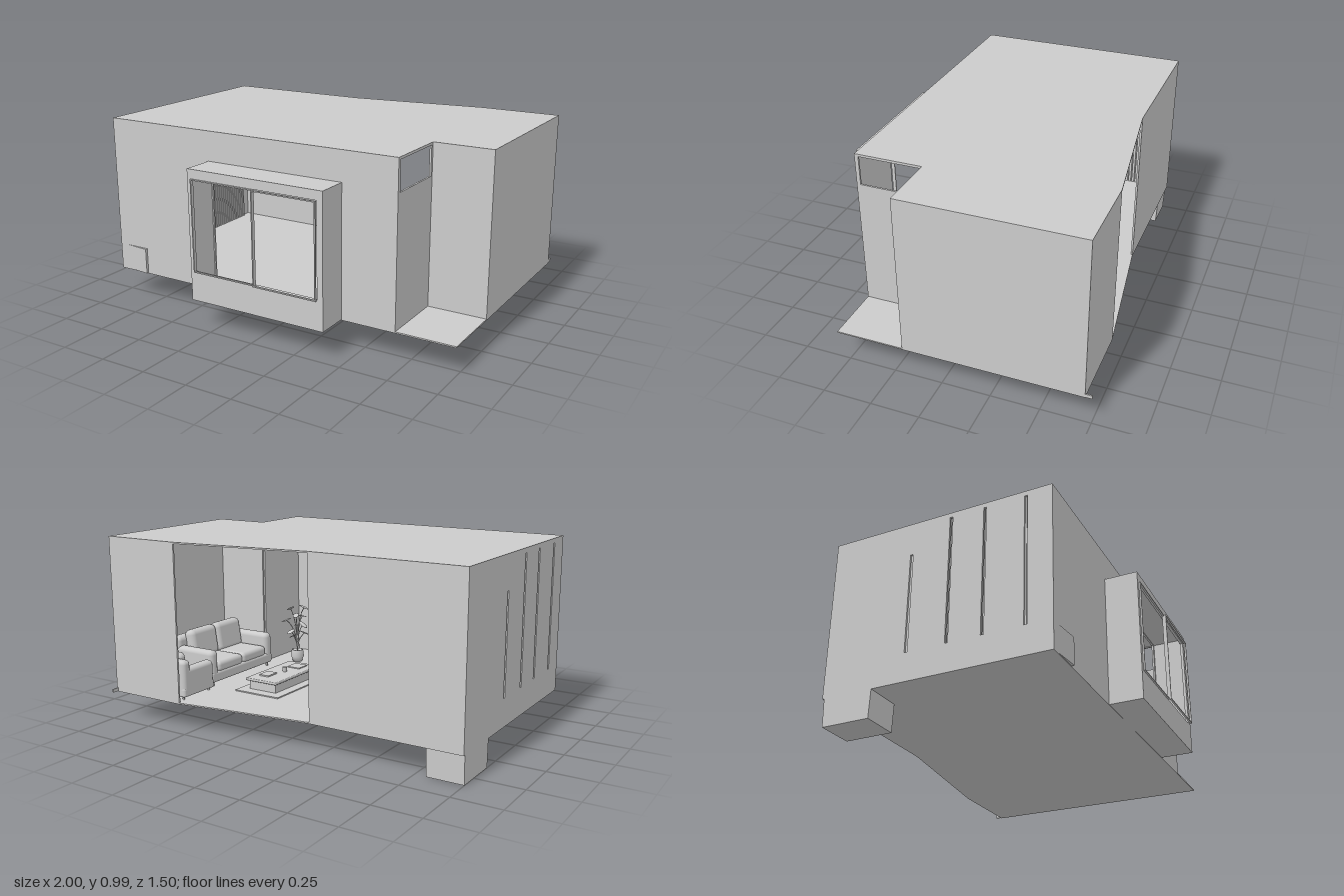
import * as THREE from 'three';
import { RoundedBoxGeometry } from 'three/addons/geometries/RoundedBoxGeometry.js';

const mat = new THREE.MeshStandardMaterial({ color: 0xcccccc, side: THREE.DoubleSide });
const FLOOR = 0.15, TOP = 0.985, THICK = 0.01;

// Plan of the room, running clockwise seen from above: [x, z]
const plan = [
  [-1, -0.615], [-0.18, -0.615], [0.56, -0.715], [1, -0.715],
  [1, 0.205], [0.69, 0.205], [0.69, 0.56], [-1, 0.56],
];

function add(parent, name, geometry, x = 0, y = 0, z = 0) {
  const mesh = new THREE.Mesh(geometry, mat);
  mesh.name = name;
  mesh.position.set(x, y, z);
  parent.add(mesh);
  return mesh;
}

// Box or rounded box given by its lower and upper limits
function block(parent, name, [x0, x1], [y0, y1], [z0, z1], radius = 0) {
  const s = [x1 - x0, y1 - y0, z1 - z0];
  const g = radius ? new RoundedBoxGeometry(...s, 3, radius) : new THREE.BoxGeometry(...s);
  return add(parent, name, g, (x0 + x1) / 2, (y0 + y1) / 2, (z0 + z1) / 2);
}

function rectPoints(x0, x1, y0, y1) {
  return [[x0, y0], [x1, y0], [x1, y1], [x0, y1]].map(p => new THREE.Vector2(...p));
}

// Flat panel with rectangular holes
function panel(x0, x1, y0, y1, holes, depth) {
  const shape = new THREE.Shape(rectPoints(x0, x1, y0, y1));
  for (const h of holes) shape.holes.push(new THREE.Path(rectPoints(...h).reverse()));
  return new THREE.ExtrudeGeometry(shape, { depth, bevelEnabled: false });
}

// Horizontal slab between two heights
function slab(points, y0, y1) {
  const shape = new THREE.Shape(points.map(([x, z]) => new THREE.Vector2(x, -z)));
  const g = new THREE.ExtrudeGeometry(shape, { depth: y1 - y0, bevelEnabled: false });
  return g.rotateX(-Math.PI / 2).translate(0, y0, 0);
}

function makeShell() {
  const shell = new THREE.Group();
  shell.name = 'shell';
  add(shell, 'roof', slab(plan, TOP - 0.008, TOP));
  const floorPlan = [...plan.slice(0, 4), [1, 0.56], [-1, 0.56]];
  add(shell, 'floor', slab(floorPlan, 0.143, FLOOR));

  // Walls follow the plan; the slanted rear side stays open
  const holes = {
    5: [[0.015, 0.335, 0.82, 0.972]],
    6: [[0.32, 1.04, 0.17, 0.81]],
    7: [-0.17, 0.04, 0.22, 0.43].map((z, i) =>
      [0.555 - z, 0.57 - z, 0.29, i ? 0.96 : 0.81]),
  };
  plan.forEach(([x, z], i) => {
    if (i === 1) return;
    const [x2, z2] = plan[(i + 1) % plan.length];
    const length = Math.hypot(x2 - x, z2 - z);
    const wall = add(shell, 'wall' + i, panel(0, length, 0.145, TOP - 0.002, holes[i] || [], THICK), x, 0, z);
    wall.rotation.y = Math.atan2(z - z2, x2 - x);
  });

  // Slatted cladding inside the side wall
  for (let z = -0.54; z < 0.55; z += 0.02) {
    block(shell, 'wallSlat', [-0.988, -0.976], [FLOOR, TOP - 0.01], [z - 0.007, z + 0.007]);
  }

  // Base ledge, corner support and small corner plate
  block(shell, 'baseLedge', [0.993, 1.0], [0.145, 0.163], [-0.75, 0.205]);
  const support = new THREE.BoxGeometry(0.19, 0.145, 0.26);
  const p = support.attributes.position;
  for (let i = 0; i < p.count; i++) if (p.getY(i) < 0) p.setZ(i, p.getZ(i) * 0.96);
  support.computeVertexNormals();
  add(shell, 'cornerSupport', support, -0.905, 0.0725, -0.475);
  add(shell, 'cornerPlate', slab([[-1, 0.556], [-0.815, 0.556], [-0.815, 0.574]], 0.147, 0.285));
  return shell;
}

function makeBay() {
  const bay = new THREE.Group();
  bay.name = 'bayWindow';
  const xs = [-0.372, 0.4], ys = [0.145, 0.83], zs = [0.56, 0.73];
  add(bay, 'bayFront', panel(...xs, ...ys, [[-0.348, 0.368, 0.3, 0.782]], 0.015), 0, 0, 0.715);
  block(bay, 'bayRoof', xs, [0.815, 0.83], zs);
  block(bay, 'bayBottom', xs, [0.145, 0.16], zs);
  block(bay, 'bayLeftSide', [0.385, 0.4], ys, zs);
  block(bay, 'bayRightSide', [-0.372, -0.357], ys, zs);
  // Two sliding sashes
  for (const [x0, x1, z] of [[-0.35, 0.022, 0.728], [0.016, 0.37, 0.738]]) {
    const glassHole = [x0 + 0.006, x1 - 0.006, 0.304, 0.776];
    add(bay, 'slidingSash', panel(x0, x1, 0.298, 0.782, [glassHole], 0.01), 0, 0, z);
  }
  return bay;
}

// Sofa facing -x, with its length along z from 0 and its back at x = 0
function makeSofa(name, length, seats) {
  const sofa = new THREE.Group();
  sofa.name = name;
  block(sofa, 'sofaBase', [-0.3, 0], [0.02, 0.08], [0, length], 0.015);
  block(sofa, 'sofaBack', [-0.07, 0], [0.04, 0.25], [0, length], 0.025);
  const arm = 0.06, seat = (length - 2 * arm) / seats;
  for (const z of [0, length - arm]) {
    block(sofa, 'armrest', [-0.3, -0.01], [0.03, 0.2], [z, z + arm], 0.026);
    for (const x of [-0.28, -0.03]) add(sofa, 'sofaFoot', new THREE.CylinderGeometry(0.008, 0.006, 0.03, 10), x, 0.015, z + arm / 2);
  }
  for (let i = 0; i < seats; i++) {
    const z = [arm + i * seat, arm + (i + 1) * seat];
    block(sofa, 'seatCushion', [-0.3, -0.06], [0.07, 0.13], z, 0.022);
    const back = block(sofa, 'backCushion', [-0.125, -0.055], [0.11, 0.28], z, 0.03);
    back.rotation.z = -0.15;
  }
  return sofa;
}

function makeTable() {
  const table = new THREE.Group();
  table.name = 'coffeeTable';
  block(table, 'rug', [0.17, 0.45], [FLOOR, 0.156], [-0.39, 0.1]);
  block(table, 'tableBody', [0.225, 0.395], [0.156, 0.205], [-0.33, 0.04]);
  block(table, 'tableTop', [0.21, 0.41], [0.205, 0.22], [-0.35, 0.06], 0.005);
  block(table, 'book', [0.31, 0.37], [0.22, 0.227], [-0.28, -0.2]);
  block(table, 'tray', [0.26, 0.34], [0.22, 0.225], [-0.06, 0.02]);
  add(table, 'cup', new THREE.CylinderGeometry(0.014, 0.011, 0.026, 16), 0.3, 0.233, -0.14);
  return table;
}

function makePlant() {
  const plant = new THREE.Group();
  plant.name = 'pottedPlant';
  const profile = [[0, 0], [0.028, 0], [0.038, 0.03], [0.034, 0.07], [0.028, 0.07], [0.026, 0.058], [0, 0.058]];
  add(plant, 'pot', new THREE.LatheGeometry(profile.map(q => new THREE.Vector2(...q)), 20));
  for (let i = 0; i < 10; i++) {
    const a = i * 2.4, r = 0.03 + 0.04 * ((i * 0.37) % 1), h = 0.15 + 0.02 * i;
    const tip = new THREE.Vector3(Math.cos(a) * r, h, Math.sin(a) * r);
    const curve = new THREE.QuadraticBezierCurve3(
      new THREE.Vector3(0, 0.055, 0), new THREE.Vector3(0, h * 0.8, 0), tip);
    add(plant, 'stem', new THREE.TubeGeometry(curve, 8, 0.0025, 5));
    const leaf = add(plant, 'leaf', new THREE.SphereGeometry(1, 10, 6), tip.x, tip.y, tip.z);
    leaf.scale.set(0.034, 0.003, 0.018);
    leaf.rotation.set(0, -a, -0.5 + 0.1 * (i % 4));
  }
  return plant;
}

export function createModel() {
  const model = new THREE.Group();
  model.name = 'livingRoom';
  const sofa = makeSofa('sofa', 0.55, 2);
  sofa.position.set(0.89, FLOOR, -0.41);
  const armchair = makeSofa('armchair', 0.3, 1);
  armchair.rotation.y = Math.PI / 2;
  armchair.scale.set(0.8, 0.85, 1);
  armchair.position.set(0.55, FLOOR, -0.68);
  const plant = makePlant();
  plant.position.set(0.52, FLOOR, 0.3);
  model.add(makeShell(), makeBay(), sofa, armchair, makeTable(), plant);
  return model;
}
